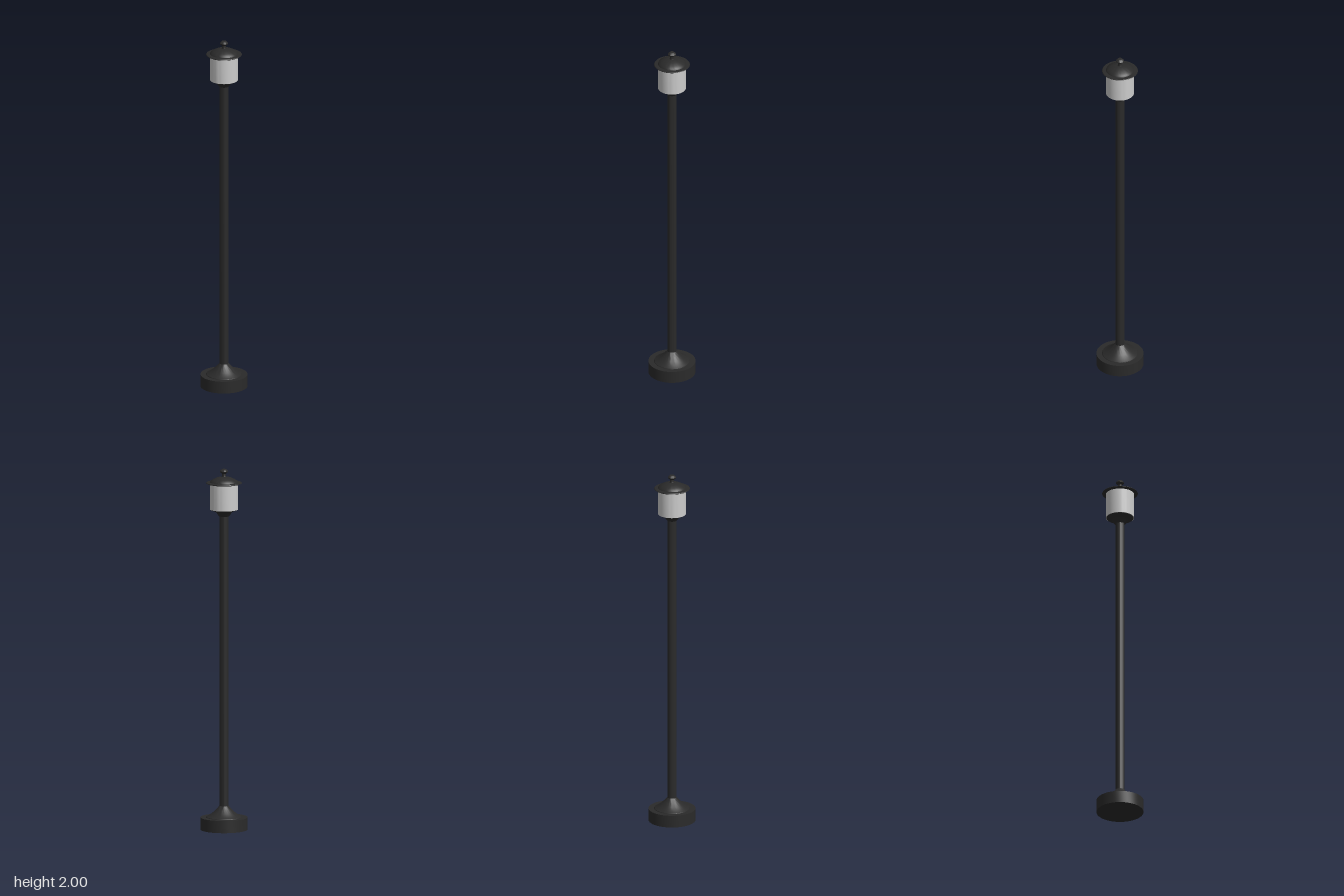
import * as THREE from 'three';
import { toCreasedNormals } from 'three/addons/utils/BufferGeometryUtils.js';

const SEGMENTS = 48;

export function createModel() {
  const lamp = new THREE.Group();
  lamp.name = 'lampPost';
  const metal = new THREE.MeshStandardMaterial({ color: 0x2a2a2a });
  const glass = new THREE.MeshStandardMaterial({ color: 0xcccccc });

  // Turned part from [radius, height] pairs, listed bottom to top
  function turned(name, profile, material = metal) {
    const points = profile.map(([r, y]) => new THREE.Vector2(r, y));
    const geometry = toCreasedNormals(new THREE.LatheGeometry(points, SEGMENTS), 0.5);
    const mesh = new THREE.Mesh(geometry, material);
    mesh.name = name;
    lamp.add(mesh);
  }

  // Round plinth
  turned('base', [[0, 0], [0.129, 0], [0.129, 0.068], [0, 0.068]]);

  // Flared foot that narrows into the pole
  turned('foot', [[0.099, 0.066], [0.097, 0.071], [0.08, 0.08], [0.062, 0.094],
    [0.046, 0.109], [0.034, 0.122], [0.026, 0.132], [0, 0.132]]);

  turned('pole', [[0, 0.12], [0.026, 0.12], [0.026, 1.745], [0, 1.745]]);

  // Cup that carries the shade
  turned('shadeHolder', [[0, 1.738], [0.027, 1.738], [0.034, 1.746], [0.042, 1.759],
    [0.053, 1.766], [0.073, 1.773], [0.075, 1.778], [0, 1.778]]);

  turned('shade', [[0, 1.776], [0.077, 1.776], [0.077, 1.92], [0, 1.92]], glass);

  // Brimmed cap with a low dome
  turned('cap', [[0, 1.918], [0.092, 1.918], [0.098, 1.922], [0.096, 1.925], [0.077, 1.927],
    [0.073, 1.934], [0.059, 1.943], [0.04, 1.952], [0.02, 1.957], [0, 1.958]]);

  // Finial: neck and small knob
  turned('finial', [[0.014, 1.954], [0.011, 1.962], [0.011, 1.974], [0.022, 1.983],
    [0.023, 1.988], [0.014, 1.998], [0.009, 2], [0, 2]]);

  return lamp;
}
